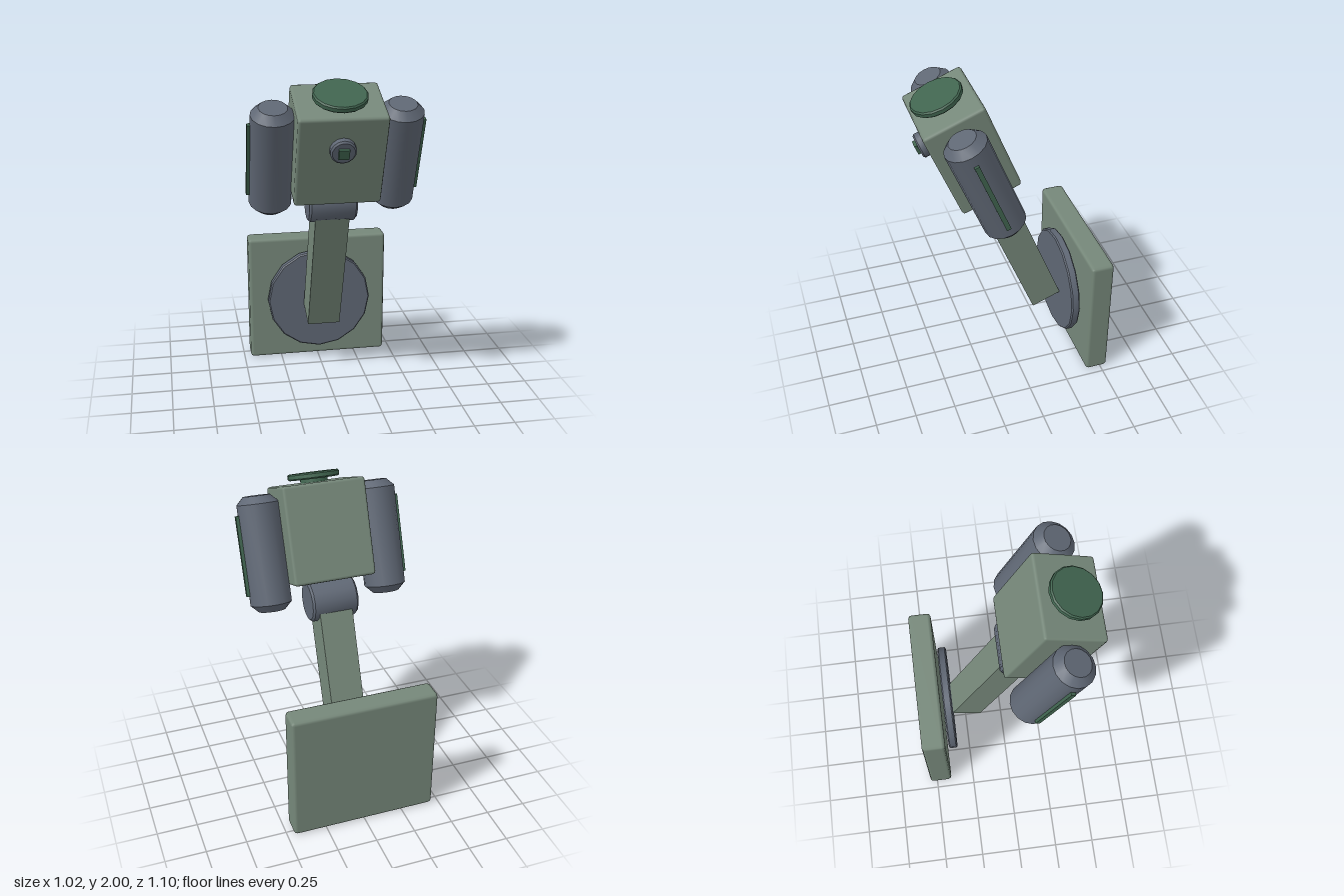
import * as THREE from 'three';
import { toCreasedNormals } from 'three/addons/utils/BufferGeometryUtils.js';
import { RoundedBoxGeometry } from 'three/addons/geometries/RoundedBoxGeometry.js';

function material(name, color) {
  const m = new THREE.MeshStandardMaterial({ color });
  m.name = name;
  return m;
}

function add(parent, name, geometry, mat, x, y, z) {
  const mesh = new THREE.Mesh(geometry, mat);
  mesh.name = name;
  mesh.position.set(x, y, z);
  parent.add(mesh);
  return mesh;
}

// Solid of revolution about y with chamfered rims
function drum(radius, length, chamfer, sides) {
  const h = length / 2;
  const profile = [
    [0, -h], [radius - chamfer, -h], [radius, -h + chamfer],
    [radius, h - chamfer], [radius - chamfer, h], [0, h],
  ].map(([r, y]) => new THREE.Vector2(r, y));
  return toCreasedNormals(new THREE.LatheGeometry(profile, sides), 0.6);
}

export function createModel() {
  const sage = material('sage', 0x76887a);
  const slate = material('slate', 0x5f6774);
  const green = material('deep green', 0x40644f);
  const model = new THREE.Group();
  model.name = 'wallMountedDevice';

  // Upright mounting plate with a round boss
  add(model, 'wallPlate', new RoundedBoxGeometry(0.915, 0.84, 0.145, 1, 0.022), sage, 0, 0.42, -0.473);
  const boss = add(model, 'wallDisc', drum(0.34, 0.055, 0.008, 16), slate, 0, 0.425, -0.358);
  boss.rotation.x = Math.PI / 2;

  // Everything above leans forward in one tilted frame
  const upper = new THREE.Group();
  upper.name = 'tiltedAssembly';
  upper.position.set(0, 1.62, 0.268);
  upper.rotation.x = THREE.MathUtils.degToRad(21.7);
  model.add(upper);

  // Arm and hinge
  add(upper, 'arm', new THREE.BoxGeometry(0.207, 0.95, 0.197), sage, 0, -0.883, -0.01);
  const hinge = add(upper, 'hinge', drum(0.125, 0.29, 0.012, 14), slate, 0, -0.415, -0.012);
  hinge.rotation.z = Math.PI / 2;

  // Head
  add(upper, 'headBox', new RoundedBoxGeometry(0.51, 0.585, 0.38, 1, 0.018), sage, 0, 0, 0);

  // Side pods with thin outer strips
  for (const side of [-1, 1]) {
    const label = side > 0 ? 'left' : 'right';
    add(upper, label + 'Pod', drum(0.127, 0.69, 0.045, 16), slate, side * 0.368, -0.086, 0);
    add(upper, label + 'Strip', new THREE.BoxGeometry(0.025, 0.48, 0.028), green, side * 0.499, -0.086, 0);
  }

  // Round cap on a short neck
  add(upper, 'capNeck', drum(0.085, 0.05, 0.005, 12), green, 0, 0.3, 0.015);
  add(upper, 'topCap', drum(0.157, 0.038, 0.008, 16), green, 0, 0.333, 0.015);

  // Front knob with a square button
  const knob = add(upper, 'frontKnob', drum(0.075, 0.05, 0.01, 14), slate, 0, 0.1, 0.21);
  knob.rotation.x = Math.PI / 2;
  add(upper, 'squareButton', new THREE.BoxGeometry(0.06, 0.06, 0.03), green, 0, 0.1, 0.238);

  return model;
}
